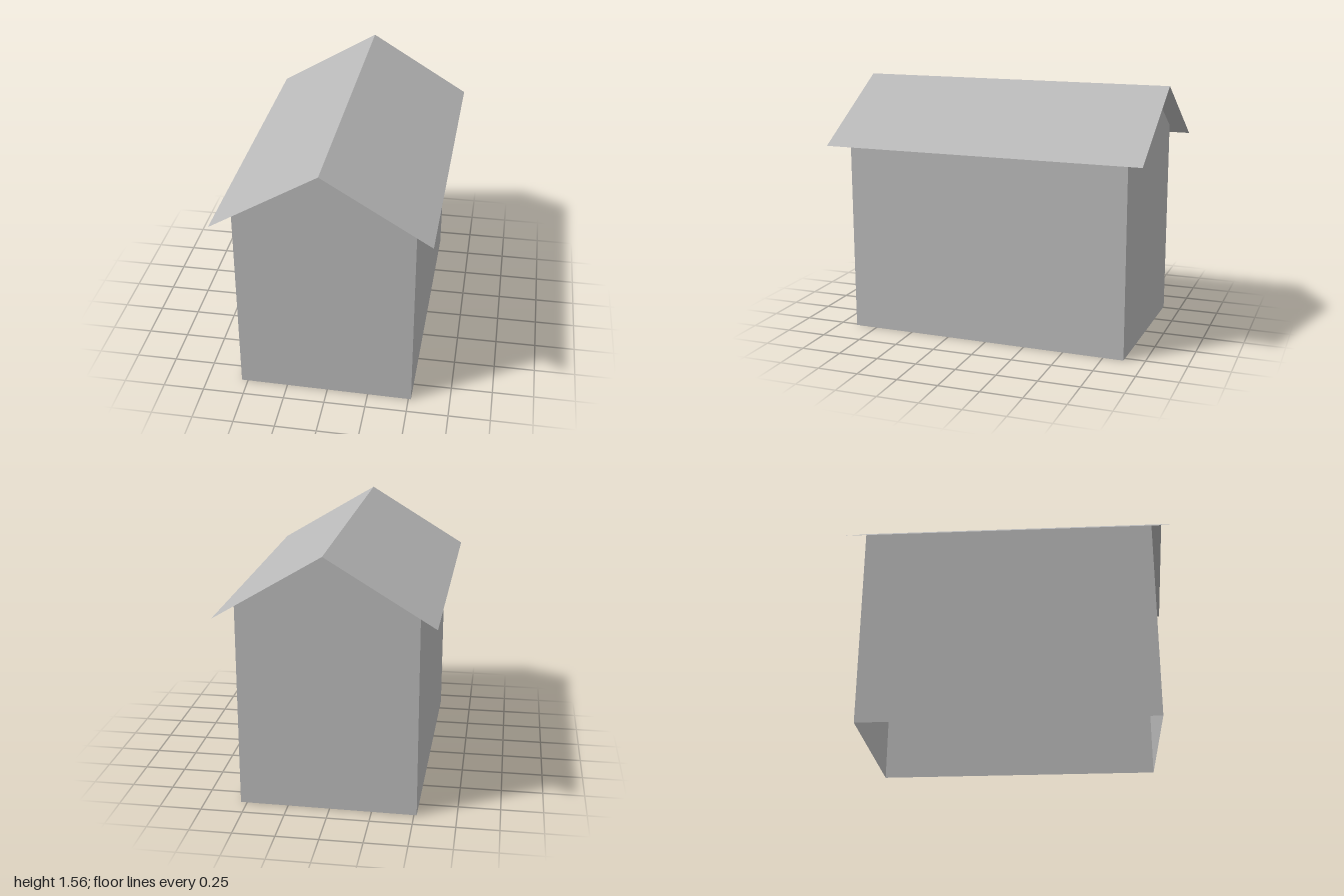
import * as THREE from 'three';

const WALL_X = 0.527, WALL_Z = 0.883;      // half width and half length of the walls
const ROOF_X = 0.63, ROOF_Z = 0.992;       // half width and half length of the roof
const EAVE_Y = 1.18, RIDGE_Y = 1.56;
const pitch = Math.atan2(RIDGE_Y - EAVE_Y, ROOF_X);
const wallTop = RIDGE_Y - WALL_X * Math.tan(pitch) - 0.001;

export function createModel() {
  const model = new THREE.Group();
  model.name = 'house';
  const grey = new THREE.MeshStandardMaterial({ color: 0xb8b8b8, side: THREE.DoubleSide });
  grey.name = 'plain grey';

  const add = (name, geometry) => {
    const mesh = new THREE.Mesh(geometry, grey);
    mesh.name = name;
    model.add(mesh);
    return mesh;
  };

  // Gable walls: five-sided sheets that rise to the ridge
  const gable = new THREE.Shape([
    new THREE.Vector2(-WALL_X, 0),
    new THREE.Vector2(WALL_X, 0),
    new THREE.Vector2(WALL_X, wallTop),
    new THREE.Vector2(0, RIDGE_Y - 0.001),
    new THREE.Vector2(-WALL_X, wallTop),
  ]);
  for (const [name, side] of [['frontWall', 1], ['backWall', -1]]) {
    const wall = add(name, new THREE.ShapeGeometry(gable));
    wall.position.z = side * WALL_Z;
    if (side < 0) wall.rotation.y = Math.PI;
  }

  for (const [label, side] of [['left', 1], ['right', -1]]) {
    // Side wall, open underneath
    const wall = add(label + 'Wall', new THREE.PlaneGeometry(2 * WALL_Z, wallTop));
    wall.rotation.y = side * Math.PI / 2;
    wall.position.set(side * WALL_X, wallTop / 2, 0);

    // Thin roof slope from ridge to overhanging eave
    const slope = new THREE.PlaneGeometry(ROOF_X / Math.cos(pitch), 2 * ROOF_Z);
    slope.rotateX(-Math.PI / 2).rotateZ(-side * pitch);
    add(label + 'Roof', slope).position.set(side * ROOF_X / 2, (EAVE_Y + RIDGE_Y) / 2, 0);
  }

  // The whole house stands turned very slightly
  model.rotation.y = -0.0125;
  return model;
}
